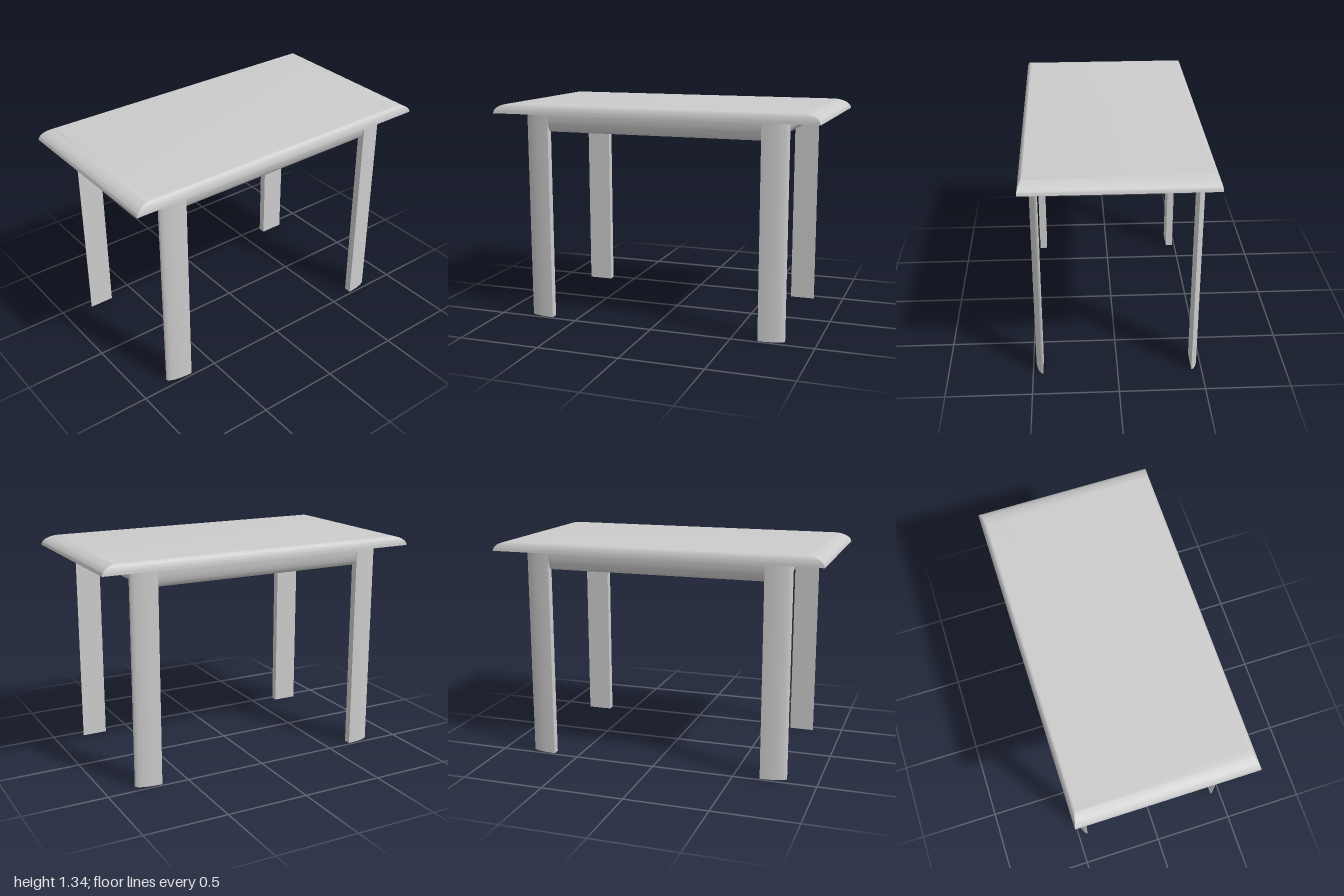
import * as THREE from 'three';
import { toCreasedNormals } from 'three/addons/utils/BufferGeometryUtils.js';

const CREASE = 0.5;
const material = new THREE.MeshStandardMaterial({ color: 0xcccccc, side: THREE.DoubleSide });

// Main sizes
const UNDER = 1.275, TOP = 1.335;          // underside and surface of the tabletop
const HALF_X = 1, HALF_Z = 0.533;          // tabletop half extents
const X_IN = 0.66, X_OUT = 0.815;          // inner and outer faces of the frame
const Z_IN = 0.44, Z_OUT = 0.485;
const APRON = 0.108;                       // apron height

// Quarter of an ellipse with its square corner at (cx, cy); signs of a and b set the direction
function quarter(cx, cy, a, b) {
  const n = 24, pts = [new THREE.Vector2(cx, cy)];
  for (let i = 0; i <= n; i++) {
    const t = (i / n) * Math.PI / 2;
    pts.push(new THREE.Vector2(cx + a * Math.cos(t), cy + b * Math.sin(t)));
  }
  return new THREE.Shape(pts);
}

function extrude(shape, depth) {
  return new THREE.ExtrudeGeometry(shape, { depth, bevelEnabled: false });
}

function part(name, geometry) {
  const mesh = new THREE.Mesh(toCreasedNormals(geometry, CREASE), material);
  mesh.name = name;
  return mesh;
}

// Flat slab whose four sides curve inwards and meet in mitred corners
function tabletopGeometry() {
  const steps = 14, pos = [], index = [];
  for (let i = 0; i <= steps; i++) {
    const t = (i / steps) * Math.PI / 2;
    const x = HALF_X - 0.115 * (1 - Math.cos(t));
    const z = HALF_Z - 0.035 * (1 - Math.cos(t));
    const y = UNDER + (TOP - UNDER) * Math.sin(t);
    pos.push(-x, y, z, x, y, z, x, y, -z, -x, y, -z);
    if (i === steps) break;
    for (let k = 0; k < 4; k++) {
      const a = i * 4 + k, b = i * 4 + (k + 1) % 4;
      index.push(a, b, b + 4, a, b + 4, a + 4);
    }
  }
  const e = steps * 4;
  index.push(e, e + 1, e + 2, e, e + 2, e + 3, 0, 2, 1, 0, 3, 2);
  const g = new THREE.BufferGeometry();
  g.setAttribute('position', new THREE.Float32BufferAttribute(pos, 3));
  g.setIndex(index);
  return g;
}

export function createModel() {
  const table = new THREE.Group();
  table.name = 'table';
  table.add(part('tabletop', tabletopGeometry()));

  // Legs: flat inside faces, one curved outside face
  for (const sx of [-1, 1]) for (const sz of [-1, 1]) {
    const shape = quarter(sx * X_IN, -sz * Z_IN, sx * (X_OUT - X_IN), -sz * (Z_OUT - Z_IN));
    const name = (sz > 0 ? 'front' : 'back') + (sx > 0 ? 'Left' : 'Right') + 'Leg';
    table.add(part(name, extrude(shape, UNDER).rotateX(-Math.PI / 2)));
  }

  // Aprons: flat inside faces, curving inwards towards the bottom
  for (const s of [-1, 1]) {
    const end = extrude(quarter(s * X_IN, UNDER, s * (X_OUT - X_IN), -APRON), 2 * Z_IN);
    table.add(part(s > 0 ? 'leftApron' : 'rightApron', end.translate(0, 0, -Z_IN)));

    const long = extrude(quarter(s * Z_IN, UNDER, s * (Z_OUT - Z_IN), -APRON), 2 * X_IN);
    long.translate(0, 0, -X_IN).rotateY(-Math.PI / 2);
    table.add(part(s > 0 ? 'frontApron' : 'backApron', long));
  }
  return table;
}
